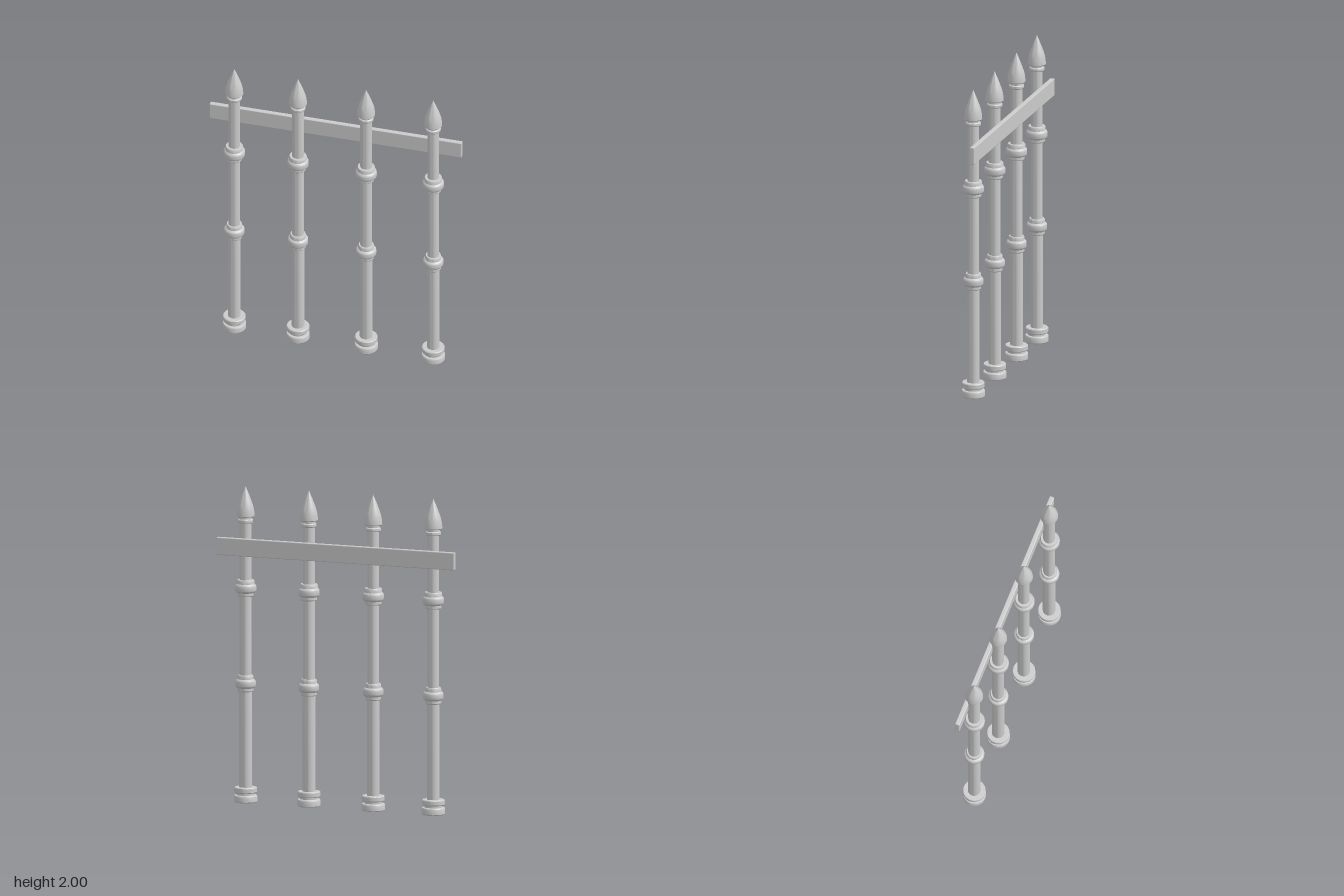
import * as THREE from 'three';
import { toCreasedNormals } from 'three/addons/utils/BufferGeometryUtils.js';
import { RoundedBoxGeometry } from 'three/addons/geometries/RoundedBoxGeometry.js';

const material = new THREE.MeshStandardMaterial({ color: 0xcccccc });
const SEGMENTS = 32;

// Turned part from [radius, height] pairs, bottom to top
function turned(name, profile) {
  const points = profile.map(([r, y]) => new THREE.Vector2(r, y));
  const geometry = toCreasedNormals(new THREE.LatheGeometry(points, SEGMENTS), 0.6);
  const mesh = new THREE.Mesh(geometry, material);
  mesh.name = name;
  return mesh;
}

// Bulging ring with a narrower lip above and below
function collar(name, y, lowerLip, bulge, upperLip) {
  const mesh = turned(name, [
    [0.03, 0], [lowerLip - 0.004, 0], [lowerLip, 0.005], [lowerLip, 0.022],
    [bulge - 0.006, 0.027], [bulge, 0.036], [bulge, 0.066], [bulge - 0.006, 0.075],
    [upperLip, 0.079], [upperLip, 0.098], [upperLip - 0.004, 0.105], [0.03, 0.105],
  ]);
  mesh.position.y = y;
  return mesh;
}

function createPost() {
  const post = new THREE.Group();
  post.name = 'post';

  // Two stacked discs with a groove between them
  post.add(turned('base', [
    [0, 0], [0.07, 0], [0.074, 0.005], [0.074, 0.038], [0.07, 0.044], [0.056, 0.046],
    [0.056, 0.058], [0.068, 0.06], [0.072, 0.065], [0.072, 0.09], [0.068, 0.095], [0.03, 0.095],
  ]));

  // Shaft, thinning a little towards the top
  post.add(turned('shaft', [
    [0.04, 0.08], [0.04, 0.75], [0.037, 0.75], [0.037, 1.82],
  ]));

  post.add(collar('lowerCollar', 0.7, 0.05, 0.064, 0.05));
  post.add(collar('upperCollar', 1.303, 0.051, 0.067, 0.056));

  // Neck ring below the spearhead
  post.add(turned('neckRing', [
    [0.03, 1.768], [0.044, 1.768], [0.048, 1.773], [0.048, 1.787], [0.044, 1.792],
    [0.041, 1.793], [0.041, 1.815],
  ]));

  // Pointed spearhead
  post.add(turned('spearhead', [
    [0, 1.807], [0.053, 1.807], [0.057, 1.812], [0.056, 1.83], [0.052, 1.858],
    [0.046, 1.882], [0.037, 1.908], [0.02, 1.953], [0, 2],
  ]));
  return post;
}

export function createModel() {
  const fence = new THREE.Group();
  fence.name = 'fence';

  // Four posts in a row
  const post = createPost();
  for (const x of [-0.647, -0.234, 0.208, 0.643]) {
    const copy = post.clone();
    copy.position.x = x;
    fence.add(copy);
  }

  // Flat rail fixed across the back of the posts
  const rail = new THREE.Mesh(new RoundedBoxGeometry(1.635, 0.112, 0.031, 2, 0.006), material);
  rail.name = 'rail';
  rail.position.set(0, 1.618, -0.048);
  fence.add(rail);
  return fence;
}
